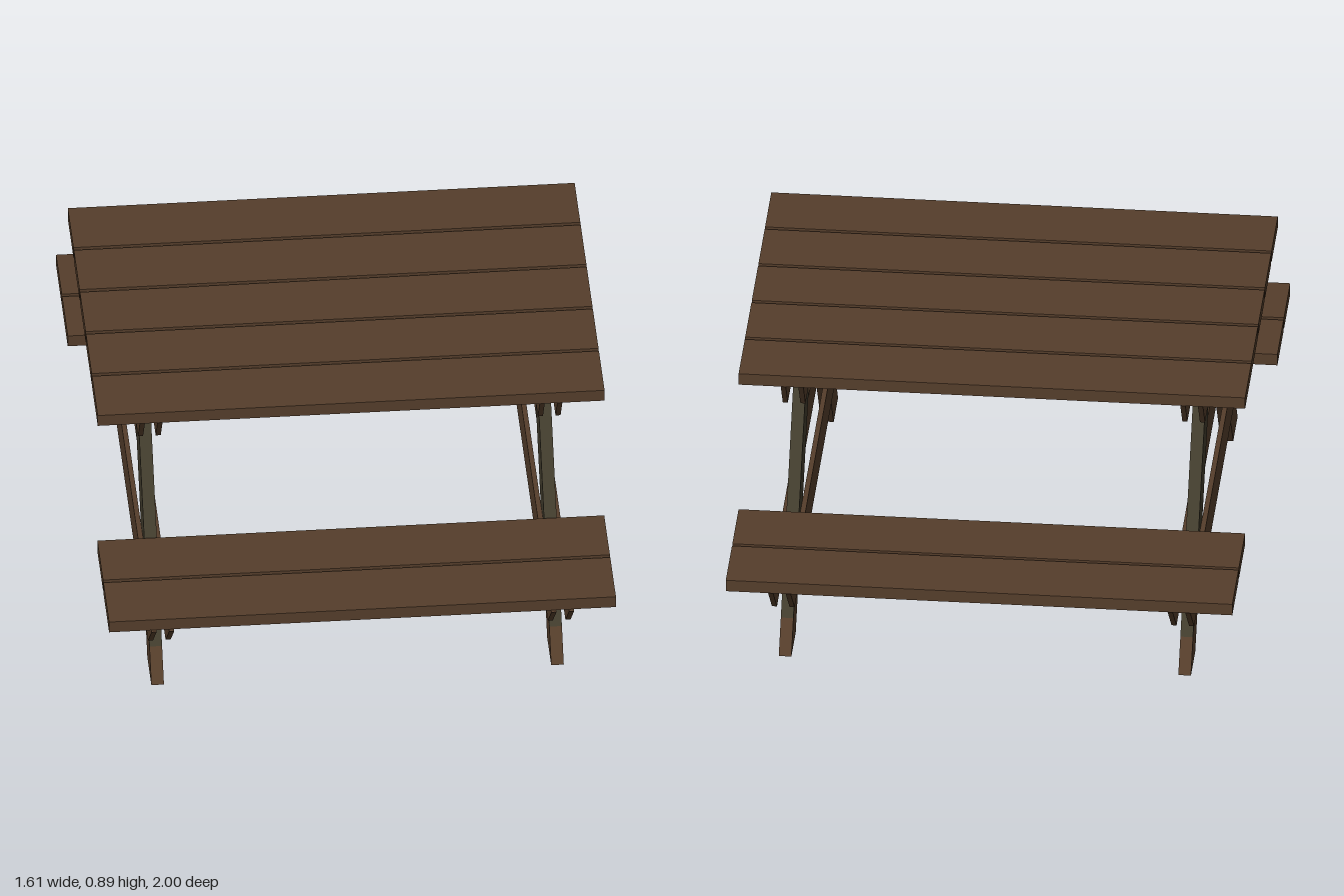
import * as THREE from 'three';

export function createModel() {
  const wood = new THREE.MeshStandardMaterial({ color: 0x553e2b });
  wood.name = 'brown wood';
  const moss = new THREE.MeshStandardMaterial({ color: 0x423c2d });
  moss.name = 'weathered green wood';
  const model = new THREE.Group();
  model.name = 'picnicTable';

  // Side outline of [z, y] points, extruded along x from x0 to x1
  function slab(name, points, x0, x1, material = wood) {
    const shape = new THREE.Shape(points.map(([z, y]) => new THREE.Vector2(z, y)));
    const geo = new THREE.ExtrudeGeometry(shape, { depth: x1 - x0, bevelEnabled: false });
    geo.rotateY(-Math.PI / 2).translate(x1, 0, 0);
    const mesh = new THREE.Mesh(geo, material);
    mesh.name = name;
    model.add(mesh);
  }

  // Long board running the full length of the table
  function plank(name, z, y) {
    const mesh = new THREE.Mesh(new THREE.BoxGeometry(1.61, 0.04, 0.213), wood);
    mesh.name = name;
    mesh.position.set(0, y, z);
    model.add(mesh);
  }

  // Beam outline with slanted ends
  const beam = (z0, z1, y0, y1, cut) => [[z0, y1], [z0 + cut, y0], [z1 - cut, y0], [z1, y1]];

  // Table top and benches
  for (let i = -2; i <= 2; i++) plank('tablePlank', i * 0.227, 0.87);
  for (const z of [0.652, 0.879]) plank('frontBenchPlank', z, 0.37);
  for (const z of [-0.667, -0.893]) plank('backBenchPlank', z, 0.37);

  // Centre battens
  slab('tableBatten', beam(-0.52, 0.52, 0.805, 0.85, 0.04), -0.033, 0.033);
  slab('frontBenchBatten', beam(0.56, 0.96, 0.315, 0.35, 0.03), -0.027, 0.027);
  slab('backBenchBatten', beam(-0.97, -0.57, 0.315, 0.35, 0.03), -0.027, 0.027);

  // Slanted leg, divided into foot, weathered middle and top corner
  const foot = [[0.8, 0], [0.65, 0], [0.45, 0.285], [0.585, 0.22], [0.59, 0.185], [0.66, 0.12], [0.73, 0.1]];
  const middle = [[0.73, 0.1], [0.66, 0.12], [0.59, 0.185], [0.585, 0.22], [0.45, 0.285],
    [0.18, 0.67], [0.19, 0.73], [0.2, 0.79], [0.247, 0.79]];
  const corner = [[0.18, 0.67], [0.097, 0.79], [0.2, 0.79], [0.19, 0.73]];

  for (const side of [-1, 1]) {
    const x = side * 0.635;
    // Paired beams clamp the legs from both sides
    for (const dx of [-0.028, 0.028]) {
      const c = x + dx;
      slab('tableBeam', beam(-0.56, 0.56, 0.75, 0.85, 0.07), c - 0.008, c + 0.008);
      slab('benchBeam', beam(-0.997, 0.997, 0.22, 0.35, 0.135), c - 0.008, c + 0.008);
    }
    for (const end of [-1, 1]) {
      const mirror = (pts) => pts.map(([z, y]) => [z * end, y]);
      slab('legFoot', mirror(foot), x - 0.02, x + 0.02);
      slab('legMiddle', mirror(middle), x - 0.02, x + 0.02, moss);
      slab('legTopCorner', mirror(corner), x - 0.02, x + 0.02);
    }
  }
  return model;
}
